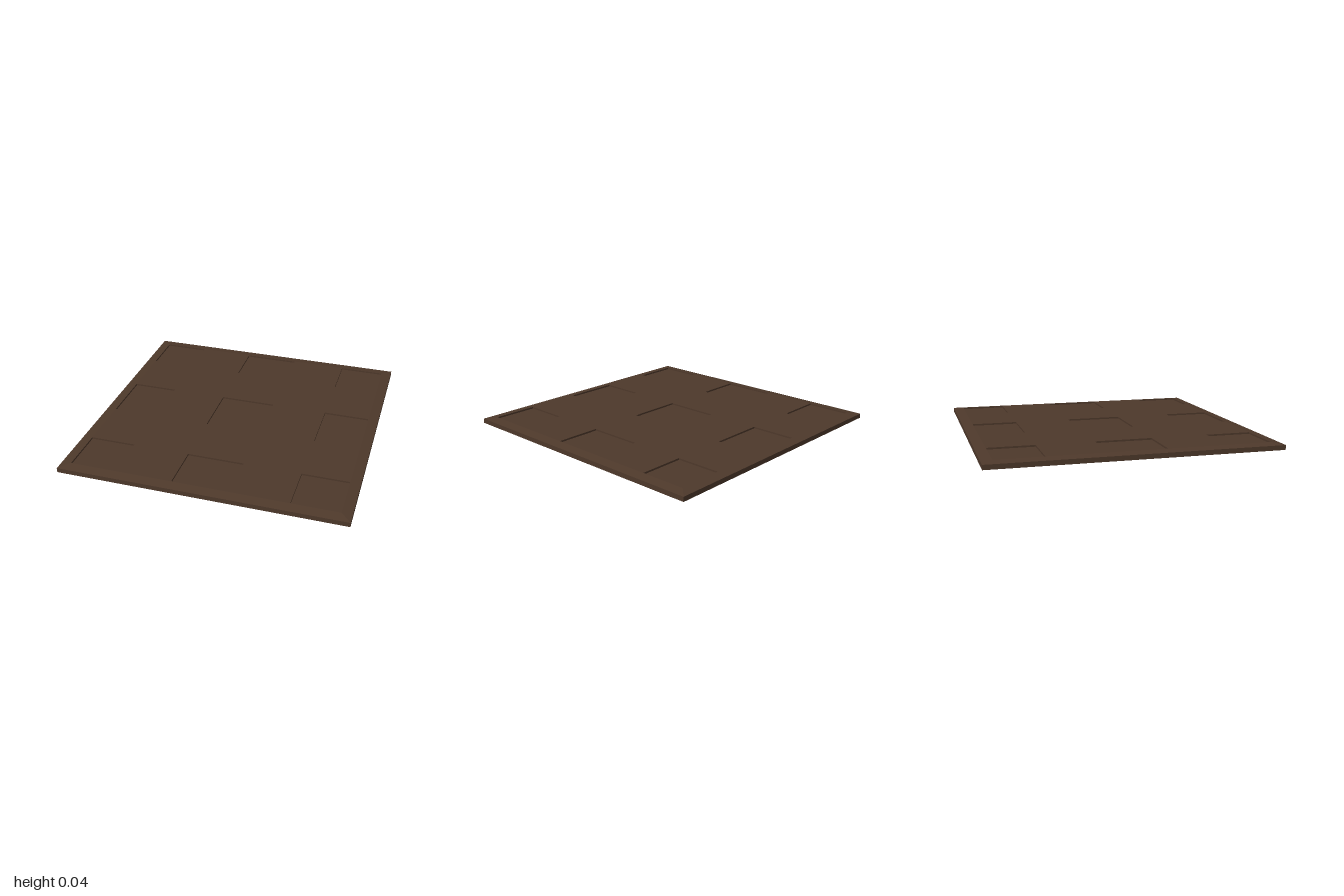
import * as THREE from 'three';

const TOP = 0.043, RIM = 0.033, FLOOR = 0.031, FLAT = 0.93;

function rect(target, x, z, w, d) {
  target.moveTo(x - w / 2, z - d / 2);
  target.lineTo(x + w / 2, z - d / 2);
  target.lineTo(x + w / 2, z + d / 2);
  target.lineTo(x - w / 2, z + d / 2);
  target.closePath();
  return target;
}

export function createModel() {
  const group = new THREE.Group();
  group.name = 'panelledTile';
  const brown = new THREE.MeshStandardMaterial({ color: 0x4e392b });
  brown.name = 'dark brown';

  const add = (name, geometry) => {
    const mesh = new THREE.Mesh(geometry, brown);
    mesh.name = name;
    group.add(mesh);
    return mesh;
  };

  // Underside, upright sides and sloping rim: a four-sided lathe
  const profile = [[0, 0], [1, 0], [1, RIM], [FLAT, TOP]]
    .map(([r, y]) => new THREE.Vector2(r * Math.SQRT2, y));
  const body = new THREE.LatheGeometry(profile, 4, Math.PI / 4).toNonIndexed();
  body.computeVertexNormals();
  add('slabBody', body);

  // Flat top pierced by a 3 x 3 set of openings, outer ones narrower
  const cells = [[-0.765, 0.325], [0, 0.4], [0.765, 0.325]];
  const shape = rect(new THREE.Shape(), 0, 0, FLAT * 2, FLAT * 2);
  for (const [x, w] of cells) {
    for (const [z, d] of cells) shape.holes.push(rect(new THREE.Path(), x, z, w, d));
  }
  const top = new THREE.ExtrudeGeometry(shape, { depth: TOP - FLOOR, bevelEnabled: false });
  top.rotateX(-Math.PI / 2);
  add('topPlate', top).position.y = FLOOR;

  // Recess floors
  for (const [x, w] of cells) {
    for (const [z, d] of cells) {
      const floor = add('recessFloor', new THREE.PlaneGeometry(w, d).rotateX(-Math.PI / 2));
      floor.position.set(x, FLOOR, z);
    }
  }
  return group;
}
